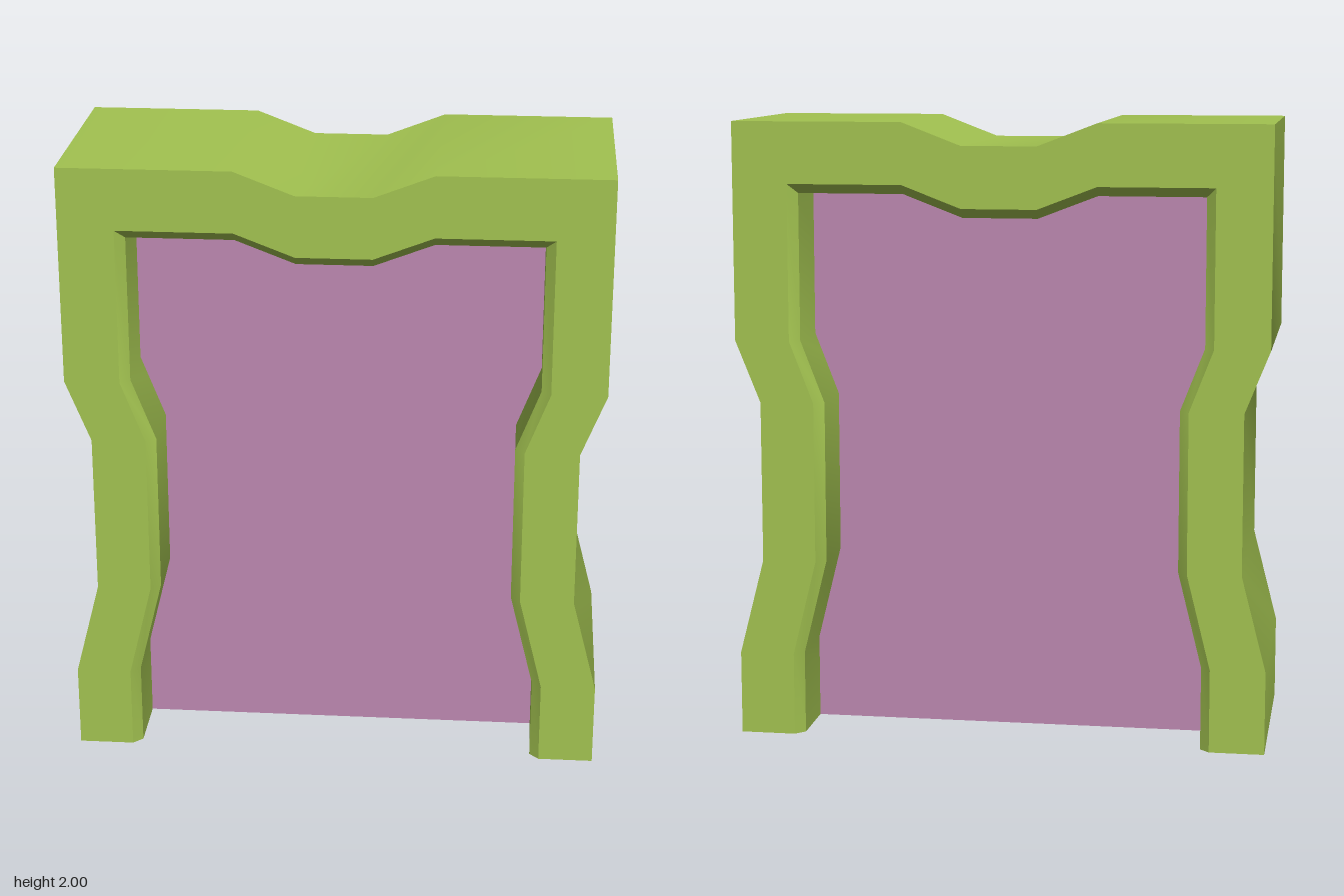
import * as THREE from 'three';
import { toCreasedNormals } from 'three/addons/utils/BufferGeometryUtils.js';

const DEPTH = 0.36; // half depth of the frame
const CHAMFER = 0.03;
const PANEL = 0.123; // half thickness of the panel

// Waisted outline with a dip in the top, from the -x foot over to the +x foot
function outline(wide, waist, top) {
  const half = [
    [wide, 0], [wide, 0.27], [waist, 0.58], [waist, 1.1],
    [wide, 1.3], [wide, top], [0.31, top], [0.12, top - 0.073],
  ];
  return [...half.map(([x, y]) => [-x, y]), ...half.reverse()];
}

const outer = outline(0.857, 0.777, 2);
const lip = outline(0.68, 0.603, 1.803);
const throat = outline(0.68 - CHAMFER, 0.603 - CHAMFER, 1.803 - CHAMFER);

// Sweep the six-cornered section, chamfered on both inner edges, along the outline
function frameGeometry() {
  const rings = outer.map((o, i) => [
    [...o, DEPTH], [...o, -DEPTH],
    [...lip[i], -DEPTH], [...throat[i], CHAMFER - DEPTH],
    [...throat[i], DEPTH - CHAMFER], [...lip[i], DEPTH],
  ]);
  const pos = [];
  const tri = (a, b, c) => pos.push(...a, ...b, ...c);
  for (let i = 0; i < rings.length - 1; i++) {
    const r = rings[i], s = rings[i + 1];
    for (let j = 0; j < 6; j++) {
      const k = (j + 1) % 6;
      tri(r[j], s[k], r[k]);
      tri(r[j], s[j], s[k]);
    }
  }
  // Undersides of the two feet
  const first = rings[0], last = rings[rings.length - 1];
  for (let j = 1; j < 5; j++) {
    tri(first[0], first[j], first[j + 1]);
    tri(last[0], last[j + 1], last[j]);
  }
  const geo = new THREE.BufferGeometry();
  geo.setAttribute('position', new THREE.Float32BufferAttribute(pos, 3));
  return toCreasedNormals(geo, Math.PI / 6); // gentle bends smooth, edges sharp
}

// Slab filling the opening, set back from both faces
function panelGeometry() {
  const shape = new THREE.Shape(throat.map(([x, y]) => new THREE.Vector2(x, y)));
  const geo = new THREE.ExtrudeGeometry(shape, { depth: 2 * PANEL, bevelEnabled: false });
  return geo.translate(0, 0, -PANEL);
}

export function createModel() {
  const group = new THREE.Group();
  const add = (name, geometry, color) => {
    const mesh = new THREE.Mesh(geometry, new THREE.MeshStandardMaterial({ color }));
    mesh.name = name;
    group.add(mesh);
  };
  add('frame', frameGeometry(), 0xa2c250);
  add('panel', panelGeometry(), 0xbc88b0);
  return group;
}
